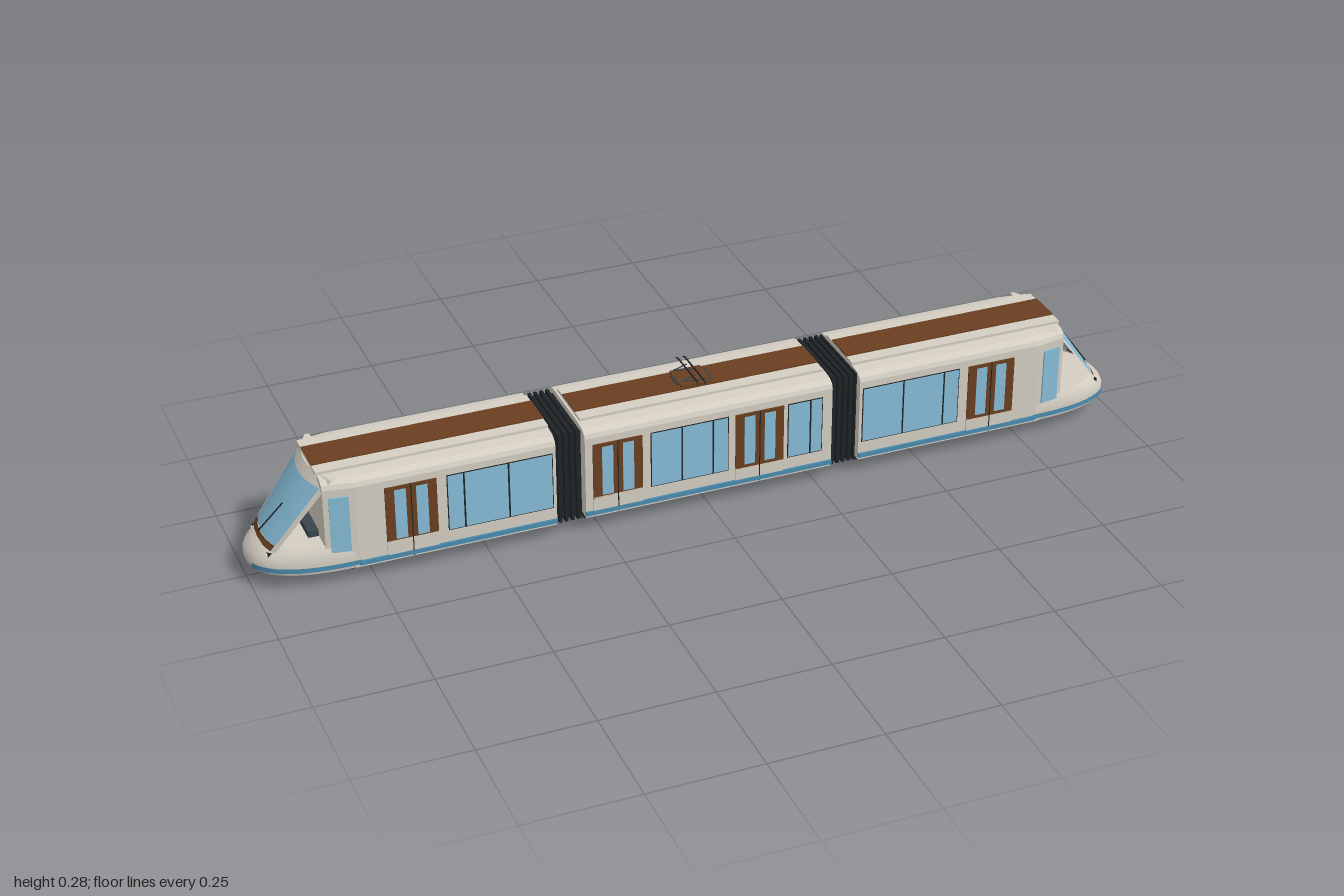
import * as THREE from 'three';

const mat = (name, color) => {
  const m = new THREE.MeshStandardMaterial({ color, side: THREE.DoubleSide });
  m.name = name;
  return m;
};

export function createModel() {
  const cream = mat('cream paint', 0xd3cdc1);
  const brown = mat('brown paint', 0x6a3f20);
  const glass = mat('blue glass', 0x86bcd6);
  const blue = mat('blue stripe', 0x4a8bb0);
  const black = mat('black rubber', 0x1f2325);
  const steel = mat('dark steel', 0x39444b);
  const lamp = mat('lamp white', 0xf2ecdc);

  const add = (parent, name, geo, m) => {
    const mesh = new THREE.Mesh(geo, m);
    mesh.name = name;
    parent.add(mesh);
    return mesh;
  };
  const box = (parent, name, m, x0, x1, y0, y1, z0, z1) => {
    const mesh = add(parent, name, new THREE.BoxGeometry(x1 - x0, y1 - y0, z1 - z0), m);
    mesh.position.set((x0 + x1) / 2, (y0 + y1) / 2, (z0 + z1) / 2);
    return mesh;
  };
  // Rod between two points
  const rod = (parent, name, m, a, b, r) => {
    const path = new THREE.LineCurve3(new THREE.Vector3(...a), new THREE.Vector3(...b));
    return add(parent, name, new THREE.TubeGeometry(path, 1, r, 6), m);
  };
  // Surface from a rule f(u, v) -> [x, y, z]
  const grid = (parent, name, m, f, nu = 16, nv = 1) => {
    const pos = [], idx = [], w = nu + 1;
    for (let j = 0; j <= nv; j++) for (let i = 0; i <= nu; i++) pos.push(...f(i / nu, j / nv));
    for (let j = 0; j < nv; j++) for (let i = 0; i < nu; i++) {
      const a = j * w + i;
      idx.push(a, a + w, a + 1, a + 1, a + w, a + w + 1);
    }
    const g = new THREE.BufferGeometry();
    g.setAttribute('position', new THREE.Float32BufferAttribute(pos, 3));
    g.setIndex(idx);
    g.computeVertexNormals();
    return add(parent, name, g, m);
  };

  // Car body cross-section, swept along x
  const W = 0.111;
  const shell = (x0, x1) => {
    const s = new THREE.Shape([
      [-W, 0.036], [W, 0.036], [W, 0.23], [0.107, 0.24], [0.095, 0.248], [0.07, 0.251],
      [-0.07, 0.251], [-0.095, 0.248], [-0.107, 0.24], [-W, 0.23],
    ].map(p => new THREE.Vector2(...p)));
    return new THREE.ExtrudeGeometry(s, { depth: x1 - x0, bevelEnabled: false })
      .rotateY(Math.PI / 2).translate(x0, 0, 0);
  };
  const roof = (parent, x0, x1) => {
    box(parent, 'roofDeck', cream, x0, x1, 0.25, 0.257, -0.068, 0.068);
    box(parent, 'roofStrip', brown, x0, x1, 0.256, 0.26, -0.038, 0.038);
  };

  // Side fittings, s = +1 or -1 for the side of the car
  const plate = (parent, name, m, x0, x1, y0, y1, t, s) =>
    box(parent, name, m, x0, x1, y0, y1, s > 0 ? W - 0.002 : -W - t, s > 0 ? W + t : -W + 0.002);
  const windows = (parent, x0, x1, splits, s) => {
    plate(parent, 'windowSeal', black, x0, x1, 0.08, 0.214, 0.001, s);
    const edges = [0, ...splits, 1].map(e => x0 + (x1 - x0) * e);
    for (let i = 0; i + 1 < edges.length; i++) {
      plate(parent, 'windowPane', glass, edges[i] + 0.002, edges[i + 1] - 0.002, 0.082, 0.212, 0.002, s);
    }
  };
  const door = (parent, x0, s) => {
    plate(parent, 'doorLower', cream, x0, x0 + 0.112, 0.038, 0.085, 0.003, s);
    plate(parent, 'doorFrame', brown, x0, x0 + 0.112, 0.08, 0.214, 0.003, s);
    for (const d of [0.02, 0.067]) {
      plate(parent, 'doorPane', glass, x0 + d, x0 + d + 0.025, 0.088, 0.206, 0.004, s);
    }
    plate(parent, 'doorSeam', black, x0 + 0.055, x0 + 0.057, 0.04, 0.214, 0.004, s);
  };
  const stripe = (parent, x0, x1, s) => plate(parent, 'sideStripe', blue, x0, x1, 0.042, 0.052, 0.0045, s);

  const bogie = (parent, x) => {
    const g = new THREE.Group();
    g.name = 'bogie';
    g.position.x = x;
    parent.add(g);
    box(g, 'bogieFrame', steel, -0.07, 0.07, 0.018, 0.03, -0.062, 0.062);
    for (const dx of [-0.048, 0.048]) for (const z of [-0.05, 0.05]) {
      const wheel = new THREE.CylinderGeometry(0.017, 0.017, 0.009, 20).rotateX(Math.PI / 2);
      add(g, 'wheel', wheel, steel).position.set(dx, 0.017, z);
    }
  };

  // Nose plan outline and windscreen surface
  const nose = (t, y, sx, sz) => {
    const a = t * Math.PI / 2, p = 0.8;
    return [0.78 + 0.22 * sx * Math.pow(Math.max(Math.cos(a), 0), p),
      y, W * sz * Math.sign(t) * Math.pow(Math.abs(Math.sin(a)), p)];
  };
  const noseRows = [[0.036, 0.97, 0.98], [0.044, 1, 1], [0.058, 1, 1], [0.072, 0.97, 0.99], [0.084, 0.91, 0.96], [0.093, 0.85, 0.92]];
  const screen = (y, z, off = 0) => [0.86 + (0.25 - y) * 0.68 - 3 * z * z + off, y, z];
  const edge = y => 0.065 + (y - 0.1) / 0.128 * 0.02;
  const mix = THREE.MathUtils.lerp;

  const endCar = () => {
    const car = new THREE.Group();
    car.name = 'endCar';
    add(car, 'body', shell(0.35, 0.785), cream);
    const cab = shell(0.785, 0.852), p = cab.attributes.position;
    for (let i = 0; i < p.count; i++) if (p.getX(i) > 0.82) p.setZ(i, p.getZ(i) * 0.9);
    cab.computeVertexNormals();
    add(car, 'cabBody', cab, cream);
    roof(car, 0.35, 0.855);
    for (const s of [1, -1]) {
      windows(car, 0.357, 0.59, [0.42, 0.84], s);
      door(car, 0.612, s);
      stripe(car, 0.35, 0.785, s);
      const pane = box(car, 'cabSideWindow', glass, -0.021, 0.021, 0.08, 0.212, -0.003, 0.003);
      pane.position.x = 0.82;
      pane.position.z = s * 0.1055;
      pane.rotation.y = s * 0.164;
    }
    // Nose shell with flat top and underside
    grid(car, 'nose', cream, (u, v) => nose(u * 2 - 1, ...noseRows[Math.round(v * 5)]), 32, 5);
    for (const [name, row] of [['noseUnderside', noseRows[0]], ['noseTop', noseRows[5]]]) {
      grid(car, name, cream, (u, v) => {
        const q = nose(u * 2 - 1, ...row);
        return [mix(0.78, q[0], v), q[1], q[2]];
      }, 32);
    }
    for (const s of [1, -1]) {
      grid(car, 'noseStripe', blue, (u, v) => nose(s * mix(0.16, 1, u), mix(0.044, 0.055, v), 1.006, 1.02), 20);
      // Headlights
      box(car, 'lampHousing', black, 0.93, 0.966, 0.062, 0.083, s * 0.058 - 0.006, s * 0.058 + 0.006);
      for (const y of [0.067, 0.077]) {
        const g = new THREE.CylinderGeometry(0.004, 0.004, 0.004, 12).rotateZ(Math.PI / 2);
        add(car, 'headlight', g, lamp).position.set(0.967, y, s * 0.058);
      }
      // Windscreen pillars
      grid(car, 'windscreenPillar', cream, (u, v) => {
        const y = mix(0.088, 0.25, v);
        return screen(y, s * (edge(y) + u * 0.012));
      }, 2, 8);
    }
    // Windscreen with header, sill and wiper
    const band = (name, m, y0, y1, off) => grid(car, name, m, (u, v) => {
      const y = mix(y0, y1, v);
      return screen(y, (u * 2 - 1) * edge(y), off);
    }, 14, 4);
    band('windscreen', glass, 0.1, 0.229, 0);
    band('windscreenHeader', cream, 0.229, 0.251, 0);
    band('windscreenSill', brown, 0.089, 0.101, 0.002);
    rod(car, 'wiper', black, screen(0.1, 0.005, 0.005), screen(0.172, -0.021, 0.005), 0.0015);
    grid(car, 'cabCeiling', cream, (u, v) => {
      const q = screen(0.25, (u * 2 - 1) * 0.1);
      return [mix(0.82, q[0], v), 0.25, q[2]];
    });
    box(car, 'dashboard', steel, 0.85, 0.875, 0.09, 0.108, -0.05, 0.05);

    // Underframe and bogies
    box(car, 'underframe', black, 0.35, 0.8, 0.029, 0.037, -0.1, 0.1);
    bogie(car, 0.725);
    bogie(car, 0.32);

    // Pleated gangway
    box(car, 'gangwayCore', black, 0.28, 0.355, 0.03, 0.238, -0.085, 0.085);
    for (let i = 0; i < 5; i++) {
      const x = 0.292 + i * 0.0135;
      box(car, 'gangwayPleat', black, x, x + 0.007, 0.027, 0.245, -0.094, 0.094);
    }
    return car;
  };

  const tram = new THREE.Group();
  tram.name = 'tram';
  const right = endCar(), left = endCar();
  left.rotation.y = Math.PI;
  tram.add(right, left);

  // Middle car, with the two sides alike by a half turn
  const middle = new THREE.Group();
  middle.name = 'middleCar';
  tram.add(middle);
  add(middle, 'body', shell(-0.285, 0.285), cream);
  roof(middle, -0.28, 0.28);
  box(middle, 'underframe', black, -0.285, 0.285, 0.029, 0.037, -0.1, 0.1);
  for (const turn of [0, Math.PI]) {
    const side = new THREE.Group();
    side.name = 'middleSide';
    side.rotation.y = turn;
    middle.add(side);
    door(side, -0.268, 1);
    windows(side, -0.137, 0.042, [0.4, 0.8], 1);
    door(side, 0.058, 1);
    windows(side, 0.18, 0.262, [0.65], 1);
    stripe(side, -0.285, 0.285, 1);
  }

  // Pantograph
  const panto = new THREE.Group();
  panto.name = 'pantograph';
  tram.add(panto);
  box(panto, 'pantographBase', brown, -0.035, 0.035, 0.258, 0.265, -0.036, 0.036);
  box(panto, 'pantographMount', steel, -0.04, 0.04, 0.26, 0.264, -0.02, 0.02);
  for (const z of [-0.025, 0.025]) {
    rod(panto, 'lowerArm', steel, [0.03, 0.264, z], [-0.03, 0.271, z], 0.0015);
    rod(panto, 'upperArm', steel, [-0.03, 0.271, z], [0, 0.28, z], 0.0015);
  }
  for (const x of [-0.008, 0.008]) {
    rod(panto, 'contactBar', black, [x, 0.281, -0.055], [x, 0.281, 0.055], 0.0018);
    for (const s of [1, -1]) rod(panto, 'barHorn', black, [x, 0.281, s * 0.055], [x, 0.277, s * 0.064], 0.0015);
  }
  return tram;
}
